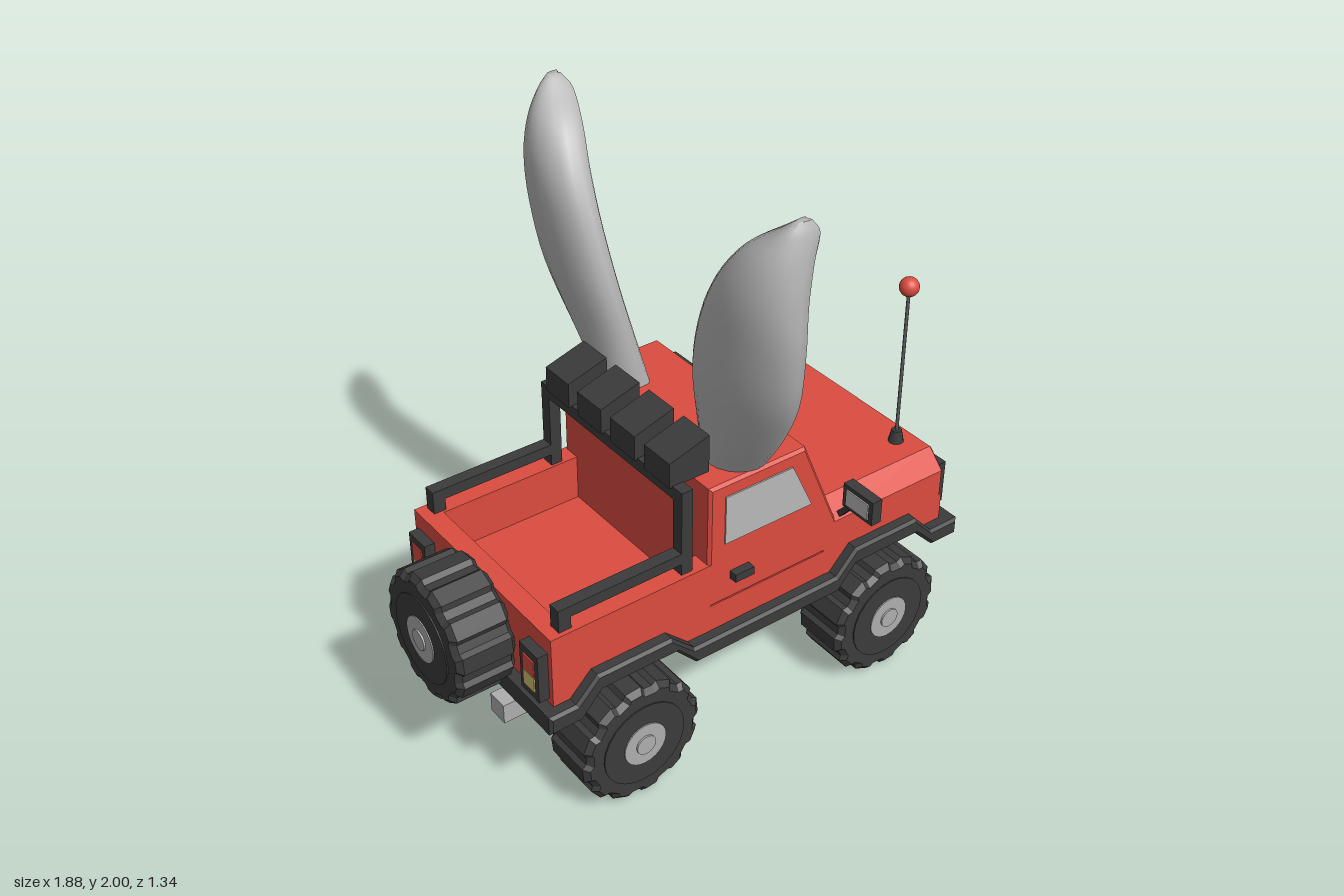
import * as THREE from 'three';
import { toCreasedNormals } from 'three/addons/utils/BufferGeometryUtils.js';

const mat = (name, color, side = THREE.FrontSide) => {
  const m = new THREE.MeshStandardMaterial({ color, side });
  m.name = name;
  return m;
};

export function createModel() {
  const red = mat('red paint', 0xdb4c40);
  const dark = mat('dark rubber', 0x3b3b3b);
  const glass = mat('window grey', 0xb8b8b8);
  const metal = mat('light metal', 0xadadad);
  const yellow = mat('lamp yellow', 0xd2bf72);
  const fur = mat('ear grey', 0xb4b4b4, THREE.DoubleSide);
  const pink = mat('inner ear pink', 0xdc9c88, THREE.DoubleSide);
  const rodGrey = mat('antenna grey', 0x5c5c5c);

  const model = new THREE.Group();
  const add = (name, geo, material, parent = model) => {
    const mesh = new THREE.Mesh(geo, material);
    mesh.name = name;
    parent.add(mesh);
    return mesh;
  };
  // box given by its extents
  const box = (name, m, x0, x1, y0, y1, z0, z1, parent) => {
    const b = add(name, new THREE.BoxGeometry(x1 - x0, y1 - y0, z1 - z0), m, parent);
    b.position.set((x0 + x1) / 2, (y0 + y1) / 2, (z0 + z1) / 2);
    return b;
  };
  // outline extruded along z, centred, with a small bevel kept inside the outline
  const slab = (points, width, bevel = 0.01) => {
    const shape = new THREE.Shape(points.map(p => new THREE.Vector2(...p)));
    const geo = new THREE.ExtrudeGeometry(shape, {
      depth: width - 2 * bevel, bevelEnabled: bevel > 0, bevelSize: bevel,
      bevelThickness: bevel, bevelOffset: -bevel, bevelSegments: 1,
    });
    return geo.translate(0, 0, bevel - width / 2);
  };

  // lower body and the dark sill that rises over the wheels
  add('lowerBody', slab([[-0.72, 0.575], [-0.72, 0.45], [-0.65, 0.45], [-0.575, 0.53], [-0.29, 0.53],
    [-0.205, 0.45], [0.385, 0.45], [0.46, 0.53], [0.735, 0.53], [0.815, 0.45], [0.88, 0.45], [0.88, 0.575]], 0.8, 0), red);
  add('sillAndBumpers', slab([[-0.76, 0.41], [-0.64, 0.41], [-0.565, 0.495], [-0.28, 0.495], [-0.2, 0.41],
    [0.39, 0.41], [0.465, 0.495], [0.735, 0.495], [0.82, 0.41], [0.93, 0.41], [0.93, 0.475], [0.81, 0.475],
    [0.73, 0.56], [0.46, 0.56], [0.38, 0.475], [-0.21, 0.475], [-0.3, 0.56], [-0.58, 0.56], [-0.66, 0.48], [-0.76, 0.48]], 0.885), dark);

  // cab, hood and open bed
  add('cab', slab([[-0.13, 0.57], [0.4, 0.57], [0.4, 0.68], [0.25, 1.035], [-0.13, 1.035]], 0.8), red);
  const hood = slab([[-0.4, 0.57], [0.4, 0.57], [0.4, 0.68], [0.335, 0.745], [-0.335, 0.745], [-0.4, 0.68]], 0.54);
  add('hood', hood.rotateY(Math.PI / 2).translate(0.61, 0, 0), red);
  for (const s of [-1, 1]) box('bedSide', red, -0.72, -0.12, 0.57, 0.742, s * 0.365 - 0.035, s * 0.365 + 0.035);
  box('tailgate', red, -0.72, -0.65, 0.57, 0.742, -0.34, 0.34);

  // windscreen and wipers on the sloping front of the cab
  const screen = new THREE.Group();
  screen.name = 'windscreen';
  screen.position.set(0.25, 1.035, 0);
  screen.rotation.z = Math.atan2(0.15, 0.355);
  model.add(screen);
  box('windscreenGlass', glass, -0.004, 0.004, -0.255, -0.055, -0.33, 0.33, screen);
  for (const z of [0.16, -0.175]) {
    const wiper = box('wiper', dark, 0.004, 0.016, -0.247, -0.217, z - 0.135, z + 0.135, screen);
    wiper.rotation.x = -0.1;
  }

  // parts mirrored on both sides
  for (const s of [-1, 1]) {
    const win = slab([[-0.07, 0.805], [0.28, 0.805], [0.195, 0.985], [-0.07, 0.985]], 0.008, 0);
    add('sideWindow', win.translate(0, 0, s * 0.401), glass);
    box('doorHandle', dark, -0.045, 0.03, 0.655, 0.685, s * 0.415 - 0.015, s * 0.415 + 0.015);
    box('mirror', dark, 0.41, 0.45, 0.745, 0.835, s * 0.48 - 0.07, s * 0.48 + 0.07);
    box('mirrorGlass', glass, 0.405, 0.411, 0.76, 0.82, s * 0.48 - 0.052, s * 0.48 + 0.052);
    const arm = box('mirrorArm', dark, 0.415, 0.44, 0.67, 0.77, s * 0.41 - 0.01, s * 0.41 + 0.01);
    arm.rotation.x = s * 0.7;

    // roll bar posts and bed rails
    box('rollBarPost', dark, -0.225, -0.183, 0.74, 1.05, s * 0.362 - 0.022, s * 0.362 + 0.022);
    box('bedRail', dark, -0.68, -0.2, 0.785, 0.825, s * 0.362 - 0.022, s * 0.362 + 0.022);
    box('railPost', dark, -0.68, -0.635, 0.74, 0.79, s * 0.362 - 0.022, s * 0.362 + 0.022);

    // head and tail lamps
    box('headlampFrame', dark, 0.87, 0.918, 0.515, 0.68, s * 0.29 - 0.08, s * 0.29 + 0.08);
    box('headlamp', yellow, 0.916, 0.922, 0.537, 0.66, s * 0.285 - 0.06, s * 0.285 + 0.06);
    box('tailLampFrame', dark, -0.757, -0.715, 0.5, 0.68, s * 0.33 - 0.05, s * 0.33 + 0.05);
    box('tailLampRed', red, -0.761, -0.755, 0.59, 0.65, s * 0.33 - 0.03, s * 0.33 + 0.03);
    box('tailLampYellow', yellow, -0.761, -0.755, 0.53, 0.588, s * 0.33 - 0.03, s * 0.33 + 0.03);
  }
  for (let i = 0; i < 5; i++) box('grilleBar', dark, 0.87, 0.9, 0.521 + i * 0.032, 0.544 + i * 0.032, -0.195, 0.195);

  // roof lamps on the roll bar
  box('rollBarTop', dark, -0.225, -0.183, 1.01, 1.055, -0.384, 0.384);
  for (const z of [-0.27, -0.09, 0.09, 0.27]) {
    const lamp = slab([[-0.235, 1.05], [-0.085, 1.05], [-0.085, 1.185], [-0.235, 1.14]], 0.13, 0);
    add('roofLamp', lamp.translate(0, 0, z), dark);
    box('roofLampFace', yellow, -0.087, -0.081, 1.07, 1.162, z - 0.045, z + 0.045);
  }

  // wheels: a lugged tyre with its outer side facing +z
  const tread = [];
  const LUGS = 12;
  for (let i = 0; i < LUGS; i++)
    for (const [f, r] of [[0, 0.225], [0.5, 0.227], [0.62, 0.212], [0.88, 0.21]]) {
      const a = (i + f) / LUGS * Math.PI * 2;
      tread.push([r * Math.cos(a), r * Math.sin(a)]);
    }
  const tyreGeo = slab(tread, 0.21, 0.018);
  const disc = (r, z0, z1) => new THREE.CylinderGeometry(r, r, z1 - z0, 24).rotateX(Math.PI / 2).translate(0, 0, (z0 + z1) / 2);
  const makeWheel = (name, x, y, z, turn) => {
    const wheel = new THREE.Group();
    wheel.name = name;
    add('tyre', tyreGeo, dark, wheel);
    add('sidewall', disc(0.155, 0.1, 0.109), dark, wheel);
    add('rim', disc(0.08, 0.1, 0.113), metal, wheel);
    add('hubCap', disc(0.036, 0.1, 0.119), metal, wheel);
    add('innerHub', disc(0.1, -0.112, -0.1), dark, wheel);
    wheel.position.set(x, y, z);
    wheel.rotation.y = turn;
    model.add(wheel);
  };
  makeWheel('frontWheel', 0.59, 0.23, 0.375, 0);
  makeWheel('rearWheel', -0.44, 0.23, 0.375, 0);
  makeWheel('rearWheel', -0.44, 0.23, -0.375, Math.PI);
  makeWheel('spareWheel', -0.832, 0.585, 0, -Math.PI / 2);

  // exhaust and antenna
  box('exhaust', metal, -0.8, -0.58, 0.33, 0.402, 0.16, 0.235);
  add('antennaBase', new THREE.CylinderGeometry(0.018, 0.028, 0.05, 12), dark).position.set(0.8, 0.765, 0.24);
  add('antennaRod', new THREE.CylinderGeometry(0.006, 0.006, 0.58, 8), rodGrey).position.set(0.8, 1.06, 0.24);
  add('antennaBall', new THREE.SphereGeometry(0.034, 20, 14), red).position.set(0.8, 1.35, 0.24);

  // ears: lofted from level sections, spans of z and x given at each height
  const spanZ = new THREE.CatmullRomCurve3([[0.185, 1.0, 0.37], [0.195, 1.2, 0.515], [0.22, 1.4, 0.625], [0.28, 1.6, 0.665],
    [0.355, 1.76, 0.663], [0.44, 1.88, 0.65], [0.54, 1.96, 0.635], [0.592, 2.0, 0.618]].map(p => new THREE.Vector3(...p)), false, 'catmullrom');
  const spanX = new THREE.CatmullRomCurve3([[-0.04, 1.0, 0.1], [-0.08, 1.2, 0.055], [-0.12, 1.4, 0.015], [-0.14, 1.6, -0.005],
    [-0.143, 1.76, 0], [-0.115, 1.88, 0.025], [-0.06, 1.96, 0.05], [-0.015, 2.0, 0.03]].map(p => new THREE.Vector3(...p)), false, 'catmullrom');
  const ROWS = 28;
  // section points: u across from inner (-1) to outer (1), v from back (0) to front (1)
  const shell = [[-0.78, 0.8], [-0.88, 0.97], [-0.97, 0.9]];
  for (let i = 0; i <= 10; i++) {
    const a = i / 10 * Math.PI;
    shell.push([-Math.cos(a), 0.68 * (1 - Math.sin(a))]);
  }
  shell.push([0.97, 0.9], [0.88, 0.97], [0.78, 0.8]);
  const lining = [[-0.78, 0.8], [-0.4, 0.62], [0, 0.56], [0.4, 0.62], [0.78, 0.8]];
  const loft = (section, s) => {
    const pos = [], idx = [], n = section.length;
    for (let r = 0; r <= ROWS; r++) {
      const pz = spanZ.getPoint(r / ROWS), px = spanX.getPoint(r / ROWS);
      const half = (pz.z - pz.x) / 2, mid = (pz.z + pz.x) / 2;
      for (const [u, v] of section)
        pos.push(px.x + (px.z - px.x) * v + u * half * 0.08, pz.y, s * (mid + u * half));
    }
    for (let r = 0; r < ROWS; r++)
      for (let i = 0; i < n - 1; i++) {
        const a = r * n + i, b = a + 1, c = a + n, d = c + 1;
        if (s > 0) idx.push(a, b, c, b, d, c);
        else idx.push(a, c, b, b, c, d);
      }
    // close the tip
    for (let i = 1; i < n - 1; i++) {
      const o = ROWS * n;
      if (s > 0) idx.push(o, o + i, o + i + 1);
      else idx.push(o, o + i + 1, o + i);
    }
    const geo = new THREE.BufferGeometry();
    geo.setAttribute('position', new THREE.Float32BufferAttribute(pos, 3));
    geo.setIndex(idx);
    return geo;
  };
  // wind both strips so their normals face outward
  const flip = geo => {
    const i = geo.index.array;
    for (let k = 0; k < i.length; k += 3) [i[k], i[k + 1]] = [i[k + 1], i[k]];
    return geo;
  };
  for (const s of [-1, 1]) {
    add('earShell', toCreasedNormals(flip(loft(shell, s)), 1.1), fur);
    add('earLining', toCreasedNormals(loft(lining, s), 1.1), pink);
  }
  return model;
}
